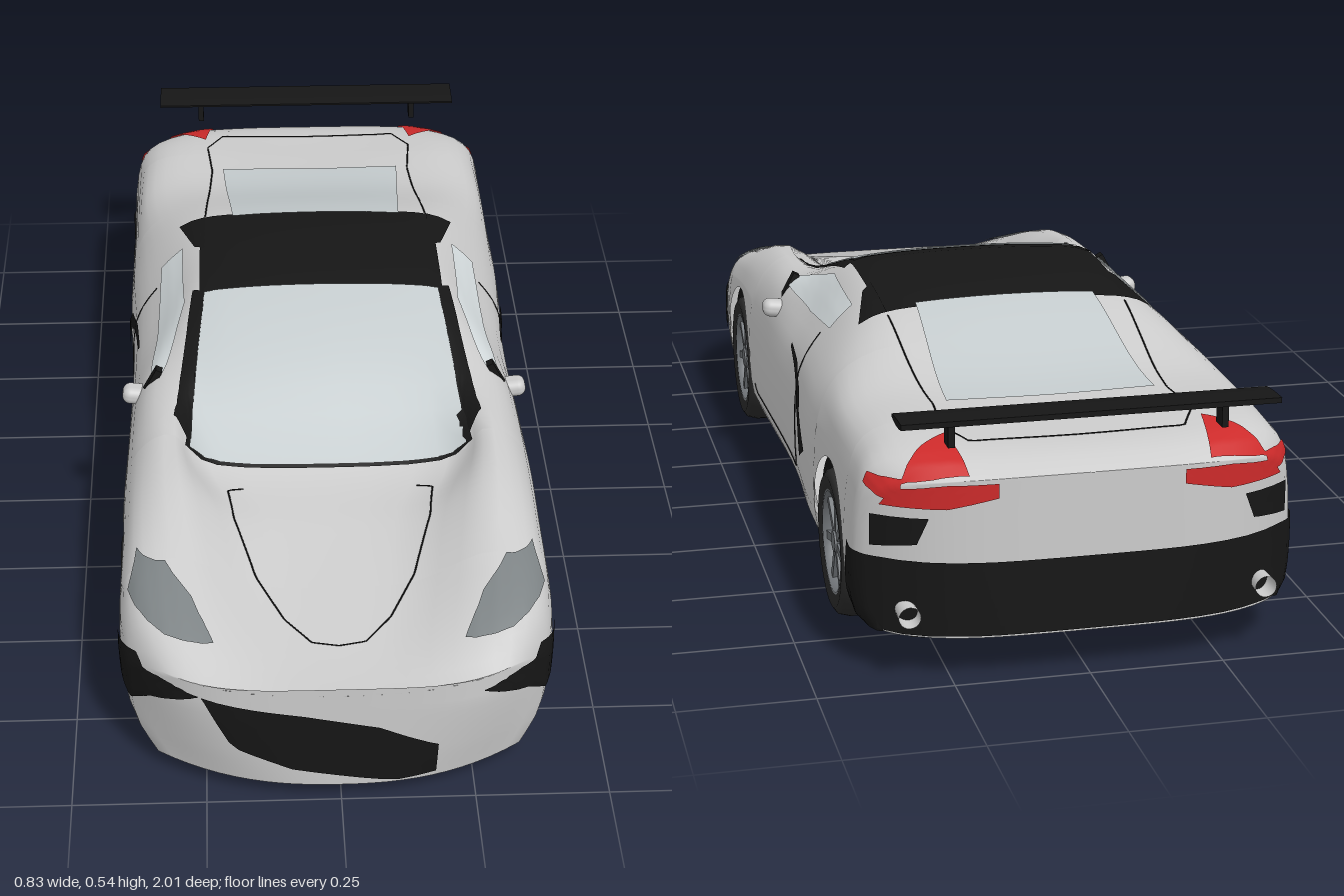
import * as THREE from 'three';
import { RoundedBoxGeometry } from 'three/addons/geometries/RoundedBoxGeometry.js';
import { mergeGeometries, mergeVertices } from 'three/addons/utils/BufferGeometryUtils.js';

const mat = (color) => new THREE.MeshStandardMaterial({ color, side: THREE.DoubleSide });
const paint = mat(0xcccccc), black = mat(0x161616), tyreMat = mat(0x2a2a2a), glass = mat(0xc4cbcd);
const sideGlass = mat(0xd6dddf), lamp = mat(0x7c8284), red = mat(0xcc2a2a), rimMat = mat(0x707478);

// Half sections: z, then x,y of belt, shoulder, inner shoulder, inner top, and y of the centre line
const SECTIONS = [
  [-1.0, .385, .32, .35, .365, .27, .38, .15, .385, .385],
  [-.95, .40, .33, .37, .388, .29, .41, .17, .412, .412],
  [-.82, .40, .34, .37, .405, .30, .43, .18, .425, .42],
  [-.60, .40, .335, .375, .405, .30, .432, .18, .437, .437],
  [-.35, .40, .34, .35, .43, .27, .49, .17, .505, .51],
  [-.15, .39, .34, .335, .43, .257, .508, .17, .526, .531],
  [0, .39, .33, .335, .42, .262, .503, .17, .522, .527],
  [.20, .395, .33, .36, .41, .295, .442, .22, .453, .461],
  [.40, .40, .33, .36, .403, .302, .422, .235, .355, .342],
  [.56, .40, .32, .365, .38, .29, .402, .175, .325, .308],
  [.75, .40, .295, .358, .34, .268, .342, .145, .283, .276],
  [.92, .39, .26, .345, .295, .25, .288, .12, .255, .25],
  [1.0, .38, .225, .33, .255, .25, .256, .12, .246, .242],
];
const AXLES = [.56, -.62], AXLE_Y = .145, ARCH_R = .16;
const clamp = THREE.MathUtils.clamp, lerp = THREE.MathUtils.lerp;
const sill = (z) => .06 - .025 * z;

// Smooth interpolation of the section table along z
function sectionRow(z) {
  const S = SECTIONS, n = S.length;
  let k = 0;
  while (k < n - 2 && z > S[k + 1][0]) k++;
  const h = S[k + 1][0] - S[k][0], t = (z - S[k][0]) / h;
  const slope = (i, c) => {
    const a = S[Math.max(i - 1, 0)], b = S[Math.min(i + 1, n - 1)];
    return (b[c] - a[c]) / (b[0] - a[0]) * h;
  };
  return S[k].map((v, c) => {
    const w = S[k + 1][c], t2 = t * t, t3 = t2 * t;
    return v * (2 * t3 - 3 * t2 + 1) + slope(k, c) * (t3 - 2 * t2 + t) + w * (3 * t2 - 2 * t3) + slope(k + 1, c) * (t3 - t2);
  });
}

// Rounds the nose and tail in plan; the chin is more pointed than the bumper
function bend(x, y, z) {
  const f = clamp((z - .72) / .28, 0, 1) ** 1.5, r = clamp((-z - .8) / .2, 0, 1) ** 1.5;
  const power = lerp(2.4, 4.3, clamp((y - .04) / .16, 0, 1));
  return z - .16 * f * Math.abs(x / .4) ** power + .1 * r * Math.abs(x / .4) ** 4;
}

// Lower edge of the side panel, lifted over the wheels
function lowerEdge(z) {
  for (const a of AXLES) {
    const d = Math.abs(z - a);
    if (d < ARCH_R) return AXLE_Y + Math.sqrt(ARCH_R ** 2 - d * d);
  }
  return sill(z);
}

const LOW = 8, HALF = 20;
function sectionPoints(z) {
  const r = sectionRow(z);
  const half = [[r[1] - .04, sill(z)], [r[1], .1], [r[1] + .01, .2], [r[1], r[2]], [r[3], r[4]], [r[5], r[6]], [r[7], r[8]]];
  const pts = [...half, [0, r[9]], ...half.slice().reverse().map(([x, y]) => [-x, y])];
  const curve = new THREE.CatmullRomCurve3(pts.map(([x, y]) => new THREE.Vector3(x, y, 0)), false, 'catmullrom', .5);
  const mid = 3 / 14, edge = lowerEdge(z);
  let a = 0, b = mid;
  if (edge > sill(z)) for (let i = 0; i < 18; i++) {
    const m = (a + b) / 2;
    if (curve.getPoint(m).y < edge) a = m; else b = m;
  }
  const out = [];
  for (let i = 0; i <= HALF; i++) {
    const t = i < LOW ? lerp(a, mid, i / LOW) : lerp(mid, .5, (i - LOW) / (HALF - LOW));
    out.push(curve.getPoint(t));
  }
  return out;
}

// Surface from a grid of points
function grid(nu, nv, fn) {
  const pos = [], idx = [];
  for (let i = 0; i <= nu; i++) for (let j = 0; j <= nv; j++) {
    pos.push(...fn(i, j));
    if (i < nu && j < nv) {
      const a = i * (nv + 1) + j, b = a + nv + 1;
      idx.push(a, a + 1, b, b, a + 1, b + 1);
    }
  }
  const g = new THREE.BufferGeometry();
  g.setAttribute('position', new THREE.Float32BufferAttribute(pos, 3));
  g.setIndex(idx);
  g.computeVertexNormals();
  return g;
}

export function createModel() {
  const car = new THREE.Group();
  car.name = 'sportsCar';
  const add = (name, geo, m, parent = car, p = [0, 0, 0], rot = [0, 0, 0]) => {
    const mesh = new THREE.Mesh(geo, m);
    mesh.name = name;
    mesh.position.set(...p);
    mesh.rotation.set(...rot);
    parent.add(mesh);
    return mesh;
  };

  // Body shell, with extra stations round the wheel arches
  let zs = [];
  for (let i = 0; i <= 60; i++) zs.push(-1 + i / 30);
  zs = zs.filter((z) => AXLES.every((a) => Math.abs(z - a) > ARCH_R + .005));
  for (const a of AXLES) {
    zs.push(a - ARCH_R - .001, a + ARCH_R + .001);
    for (let i = 0; i <= 24; i++) zs.push(a - Math.cos(i / 24 * Math.PI) * (ARCH_R - 1e-5));
  }
  zs.sort((a, b) => a - b);
  const rows = zs.map(sectionPoints);
  const sides = grid(zs.length - 1, 2 * HALF, (i, j) => {
    const p = rows[i][j <= HALF ? j : 2 * HALF - j], x = j <= HALF ? p.x : -p.x;
    return [x, p.y, bend(x, p.y, zs[i])];
  });
  // Nose and tail panels, blended smoothly into the sides
  const endPanel = (k, dir) => grid(HALF, 24, (i, j) => {
    const p = rows[k][i], x = p.x * (j / 12 - 1) * dir;
    return [x, p.y, bend(x, p.y, zs[k])];
  });
  const parts = [sides, endPanel(zs.length - 1, 1), endPanel(0, -1)];
  parts.forEach((g) => g.deleteAttribute('normal'));
  const bodyGeo = mergeVertices(mergeGeometries(parts), 1e-5);
  bodyGeo.computeVertexNormals();
  const shell = add('bodyShell', bodyGeo, paint);

  // Floor, narrowed between the wheels
  add('floor', grid(zs.length - 1, 12, (i, j) => {
    const inArch = AXLES.some((a) => Math.abs(zs[i] - a) < ARCH_R);
    const x = (inArch ? .26 : sectionRow(zs[i])[1] - .04) * (j / 6 - 1), y = sill(zs[i]);
    return [x, y, bend(x, y, zs[i])];
  }), paint);
  for (const [name, z0, z1] of [['frontUndertray', .66, .99], ['rearUndertray', -.99, -.88]]) {
    add(name, grid(8, 8, (i, j) => {
      const z = lerp(z0, z1, i / 8), x = .32 * (j / 4 - 1);
      return [x, sill(z) - .004, bend(x, sill(z), z)];
    }), black);
  }
  add('engineUndertray', new THREE.BoxGeometry(.4, .008, .32), black, car, [0, .062, -.16], [.025, 0, 0]);
  add('gearboxCover', new THREE.BoxGeometry(.13, .008, .12), tyreMat, car, [0, .07, -.47], [.025, 0, 0]);

  // Panels laid on the body by projection
  const ray = new THREE.Raycaster();
  let last = new THREE.Vector3();
  const VIEWS = {
    top: (a, b) => [[a, 2, b], [0, -1, 0]],
    side: (a, b) => [[2, b, a], [-1, 0, 0]],
    front: (a, b) => [[a, b, 3], [0, 0, -1]],
    rear: (a, b) => [[a, b, -3], [0, 0, 1]],
  };
  const project = (view, a, b, off) => {
    const [o, d] = VIEWS[view](a, b).map((v) => new THREE.Vector3(...v));
    ray.set(o, d);
    const hit = ray.intersectObject(shell)[0];
    if (hit) {
      const n = hit.face.normal.clone();
      if (n.dot(d) > 0) n.negate();
      last = hit.point.addScaledVector(n, off);
    }
    return last.clone();
  };
  const along = (pts, t) => {
    const f = t * (pts.length - 1), k = Math.min(Math.floor(f), pts.length - 2);
    return [0, 1].map((c) => lerp(pts[k][c], pts[k + 1][c], f - k));
  };
  const both = (name, geo, m) => {
    add(name + 'Left', geo, m);
    add(name + 'Right', geo, m).scale.x = -1;
  };
  const patch = (name, m, view, A, B, mirror = true, off = .004) => {
    const geo = grid(18, 8, (i, j) => {
      const a = along(A, i / 18), b = along(B, i / 18);
      return project(view, lerp(a[0], b[0], j / 8), lerp(a[1], b[1], j / 8), off).toArray();
    });
    if (mirror) both(name, geo, m); else add(name, geo, m);
  };
  const seam = (name, view, pts) => {
    const path = [];
    for (let i = 0; i <= 30; i++) path.push(project(view, ...along(pts, i / 30), .0005));
    both(name, new THREE.TubeGeometry(new THREE.CatmullRomCurve3(path), 60, .0016, 4), black);
  };

  // Cabin
  patch('windshieldFrame', black, 'top', [[-.285, .405], [.285, .405]], [[-.245, -.01], [.245, -.01]], false, .003);
  patch('windshield', glass, 'top', [[-.279, .398], [.279, .398]], [[-.24, .005], [.24, .005]], false, .006);
  patch('roof', black, 'top', [[-.25, .005], [.25, .005]], [[-.25, -.34], [.25, -.34]], false, .004);
  patch('roofCorner', black, 'top', [[.24, -.18], [.24, -.34]], [[.26, -.2], [.295, -.34]]);
  patch('windshieldPillar', black, 'top', [[.24, 0], [.28, .385]], [[.264, -.02], [.305, .34]]);
  patch('sideWindow', sideGlass, 'side', [[.19, .417], [-.03, .417], [-.23, .44]], [[.19, .432], [0, .487], [-.23, .486]]);
  patch('rearWindow', glass, 'top', [[-.18, -.325], [.18, -.325]], [[-.2, -.7], [.2, -.7]], false, .006);

  // Lights, intakes and vents
  patch('headlight', lamp, 'front', [[.232, .288], [.32, .298], [.388, .313]], [[.272, .326], [.32, .354], [.372, .35]]);
  patch('cornerIntake', black, 'front', [[.26, .229], [.32, .2], [.385, .165]], [[.26, .231], [.32, .244], [.38, .24]]);
  patch('cornerIntakeSide', black, 'side', [[.91, .185], [.86, .145], [.76, .155]], [[.91, .235], [.87, .255], [.76, .225]]);
  patch('grille', black, 'front', [[-.255, .23], [-.07, .2], [.07, .17], [.178, .12]],
    [[-.25, .222], [-.2, .12], [-.09, .075], [.1, .042], [.175, .05]], false);
  patch('sideVent', black, 'side', [[-.04, .358], [-.15, .352], [-.24, .325], [-.3, .27], [-.36, .235]],
    [[-.04, .351], [-.14, .338], [-.21, .305], [-.26, .25], [-.29, .2]]);
  patch('rearBumper', black, 'rear', [[-.375, .09], [.375, .09]], [[-.38, .23], [.38, .23]], false);
  patch('rearBumperSide', black, 'side', [[-.79, .085], [-.93, .09]], [[-.83, .23], [-.93, .23]]);
  patch('rearVent', black, 'rear', [[.31, .262], [.385, .25]], [[.29, .312], [.385, .31]]);
  patch('tailLight', red, 'rear', [[.17, .35], [.26, .33], [.37, .33]], [[.17, .377], [.26, .375], [.35, .362]]);
  patch('tailLightTop', red, 'top', [[.24, -.86], [.22, -.985]], [[.29, -.9], [.345, -.96]]);
  patch('tailLightSide', red, 'side', [[-.89, .36], [-.95, .335]], [[-.89, .378], [-.95, .378]]);

  // Panel gaps
  seam('hoodSeam', 'top', [[.17, .46], [.2, .47], [.19, .56], [.15, .7], [.1, .8], [.05, .86], [0, .87]]);
  seam('doorSeam', 'side', [[.34, .15], [.32, .135], [.08, .135], [-.17, .135], [-.18, .15], [-.18, .28], [-.18, .42]]);
  seam('deckSeam', 'top', [[.24, -.35], [.235, -.5], [.225, -.7], [.235, -.82], [.2, -.89], [0, -.89]]);

  // Wheel arches; only the rear ones have an inner wall
  for (const a of AXLES) {
    const path = [[-ARCH_R, sill(a) + .01]];
    for (let i = 0; i <= 24; i++) {
      const t = Math.PI * (1 - i / 24);
      path.push([Math.cos(t) * ARCH_R, AXLE_Y + Math.sin(t) * ARCH_R]);
    }
    path.push([ARCH_R, sill(a) + .01]);
    const n = path.length - 1;
    both('wheelArch', grid(n, 1, (i, j) => [j ? (i % n ? .396 : .355) : .26, path[i][1], a + path[i][0]]), black);
    if (a < 0) both('wheelWell', grid(n, 1, (i, j) => [.26, j ? sill(a) : path[i][1], a + path[i][0]]), black);
  }

  // Wheels: outer face towards +x, mirrored for the other side
  const lathe = (pts) => new THREE.LatheGeometry(pts.map((p) => new THREE.Vector2(...p)), 40);
  const side = [0, 0, -Math.PI / 2];
  const tyre = lathe([[.1, -.06], [.125, -.064], [.137, -.056], [.143, -.035], [.143, .035], [.137, .056], [.125, .064], [.1, .06]]);
  const rim = lathe([[.103, .06], [.096, .06], [.092, .045], [.088, -.055], [.103, -.06]]);
  for (const z of AXLES) for (const s of [1, -1]) {
    const w = new THREE.Group();
    w.name = (z > 0 ? 'front' : 'rear') + 'Wheel' + (s > 0 ? 'Left' : 'Right');
    w.position.set(s * .345, AXLE_Y - .002, z);
    w.scale.x = s;
    car.add(w);
    add('tyre', tyre, tyreMat, w, [0, 0, 0], side);
    add('rim', rim, rimMat, w, [0, 0, 0], side);
    add('wheelBack', new THREE.CylinderGeometry(.1, .1, .01, 32), tyreMat, w, [-.045, 0, 0], side);
    add('brakeDisc', new THREE.CylinderGeometry(.07, .07, .012, 32), rimMat, w, [.005, 0, 0], side);
    add('hub', new THREE.CylinderGeometry(.02, .026, .03, 20), rimMat, w, [.042, 0, 0], side);
    const caliper = add('brakeCaliper', new THREE.TorusGeometry(.066, .015, 8, 12, 1), red, w, [.018, 0, 0], [0, Math.PI / 2, 0]);
    caliper.rotateZ(.25);
    for (let i = 0; i < 7; i++) {
      const t = i / 7 * Math.PI * 2;
      add('spoke', new THREE.BoxGeometry(.014, .08, .016), rimMat, w, [.046, Math.cos(t) * .055, Math.sin(t) * .055], [t, 0, 0]);
    }
  }

  // Mirrors, exhausts and rear wing
  for (const s of [1, -1]) {
    add('mirror', new RoundedBoxGeometry(.062, .036, .046, 4, .016), paint, car, [s * .381, .374, .168], [0, 0, s * .12]);
    add('mirrorArm', new THREE.BoxGeometry(.014, .07, .02), black, car, [s * .352, .412, .185], [0, 0, s * .5]);
    add('exhaust', new THREE.CylinderGeometry(.02, .017, .08, 20, 1, true), paint, car, [s * .33, .135, -.955], [-Math.PI / 2, 0, 0]);
    add('wingSupport', new THREE.BoxGeometry(.012, .05, .035), black, car, [s * .25, .465, -.955]);
  }
  const foil = new THREE.Shape();
  foil.moveTo(.915, .488);
  foil.quadraticCurveTo(.95, .478, 1, .488);
  foil.lineTo(1, .498);
  foil.quadraticCurveTo(.95, .498, .915, .492);
  add('rearWing', new THREE.ExtrudeGeometry(foil, { depth: .69, bevelEnabled: false }), black, car, [-.345, 0, 0], [0, Math.PI / 2, 0]);
  return car;
}
